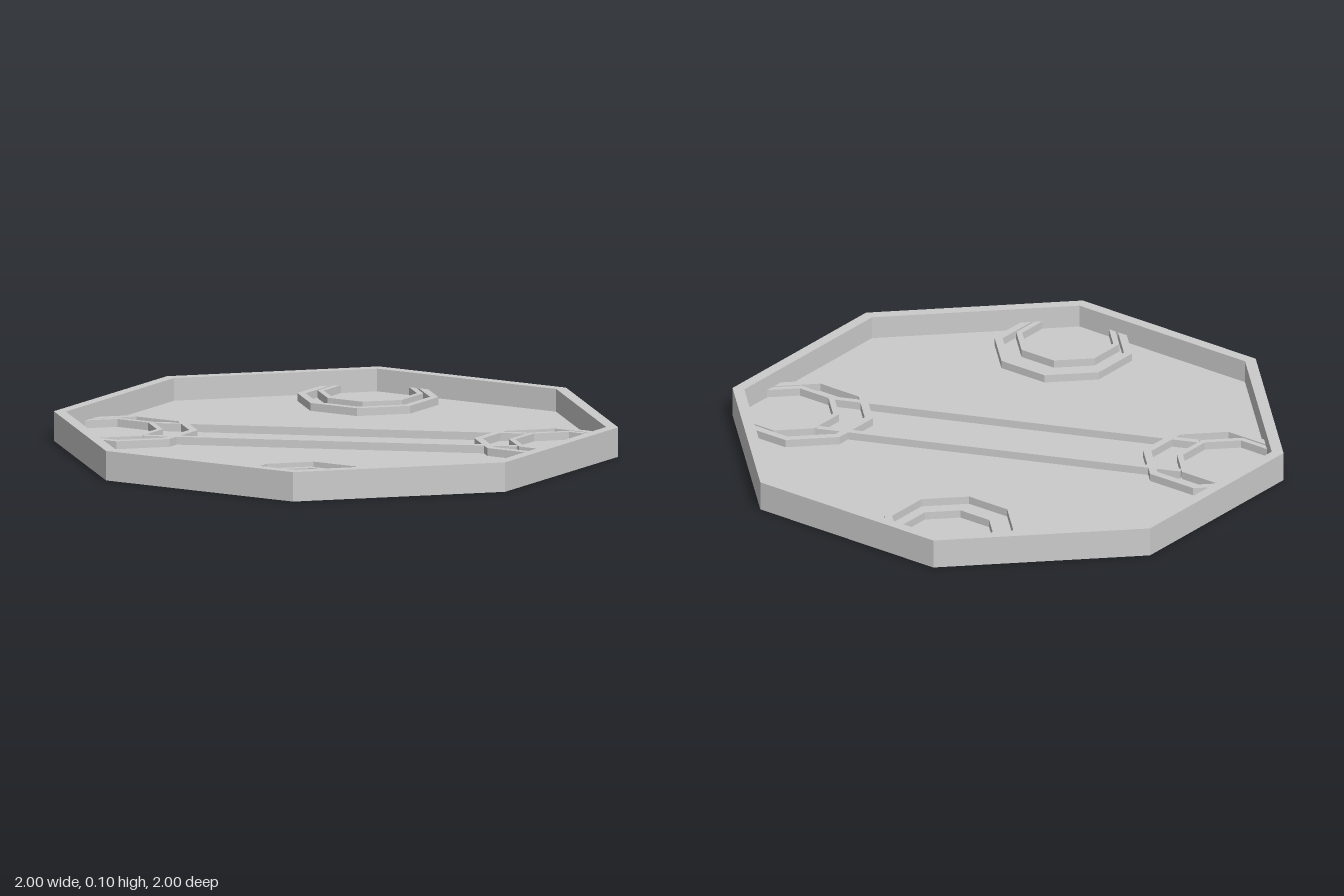
import * as THREE from 'three';

const material = new THREE.MeshStandardMaterial({ color: 0xcccccc, flatShading: true });
const FLOOR = 0.024; // floor thickness
const RIDGE = 0.028; // height of the raised ridges above the floor

function octagon(radius, PathType) {
  const points = [];
  for (let i = 0; i < 8; i++) {
    const a = (i * Math.PI) / 4;
    points.push(new THREE.Vector2(radius * Math.cos(a), radius * Math.sin(a)));
  }
  return new PathType(points);
}

// Flat-lying octagonal ring, or a solid plate when inner is 0
function octagonPart(name, outer, inner, height, y) {
  const shape = octagon(outer, THREE.Shape);
  if (inner > 0) shape.holes.push(octagon(inner, THREE.Path));
  const geometry = new THREE.ExtrudeGeometry(shape, { depth: height, bevelEnabled: false });
  geometry.rotateX(-Math.PI / 2);
  const mesh = new THREE.Mesh(geometry, material);
  mesh.name = name;
  mesh.position.y = y;
  return mesh;
}

export function createModel() {
  const model = new THREE.Group();
  model.name = 'octagonalTray';

  // Tray: floor plate and surrounding wall
  model.add(octagonPart('floor', 1, 0, FLOOR, 0));
  model.add(octagonPart('rimWall', 1, 0.957, 0.105 - FLOOR, FLOOR));

  // Pair of nested ridges at each of the four axis corners, running into the wall
  for (let i = 0; i < 4; i++) {
    const corner = new THREE.Group();
    corner.name = 'cornerRings';
    const outer = octagonPart('outerRing', 0.25, 0.22, RIDGE, FLOOR);
    outer.position.x = 0.74;
    const inner = octagonPart('innerRing', 0.187, 0.165, RIDGE, FLOOR);
    inner.position.x = 0.8;
    corner.add(outer, inner);
    corner.rotation.y = (i * Math.PI) / 2;
    model.add(corner);
  }

  // Two parallel rails joining the left and right rings
  for (const side of [-1, 1]) {
    const rail = new THREE.Mesh(new THREE.BoxGeometry(1.32, RIDGE, 0.023), material);
    rail.name = 'rail';
    rail.position.set(0, FLOOR + RIDGE / 2, side * 0.121);
    model.add(rail);
  }

  return model;
}
